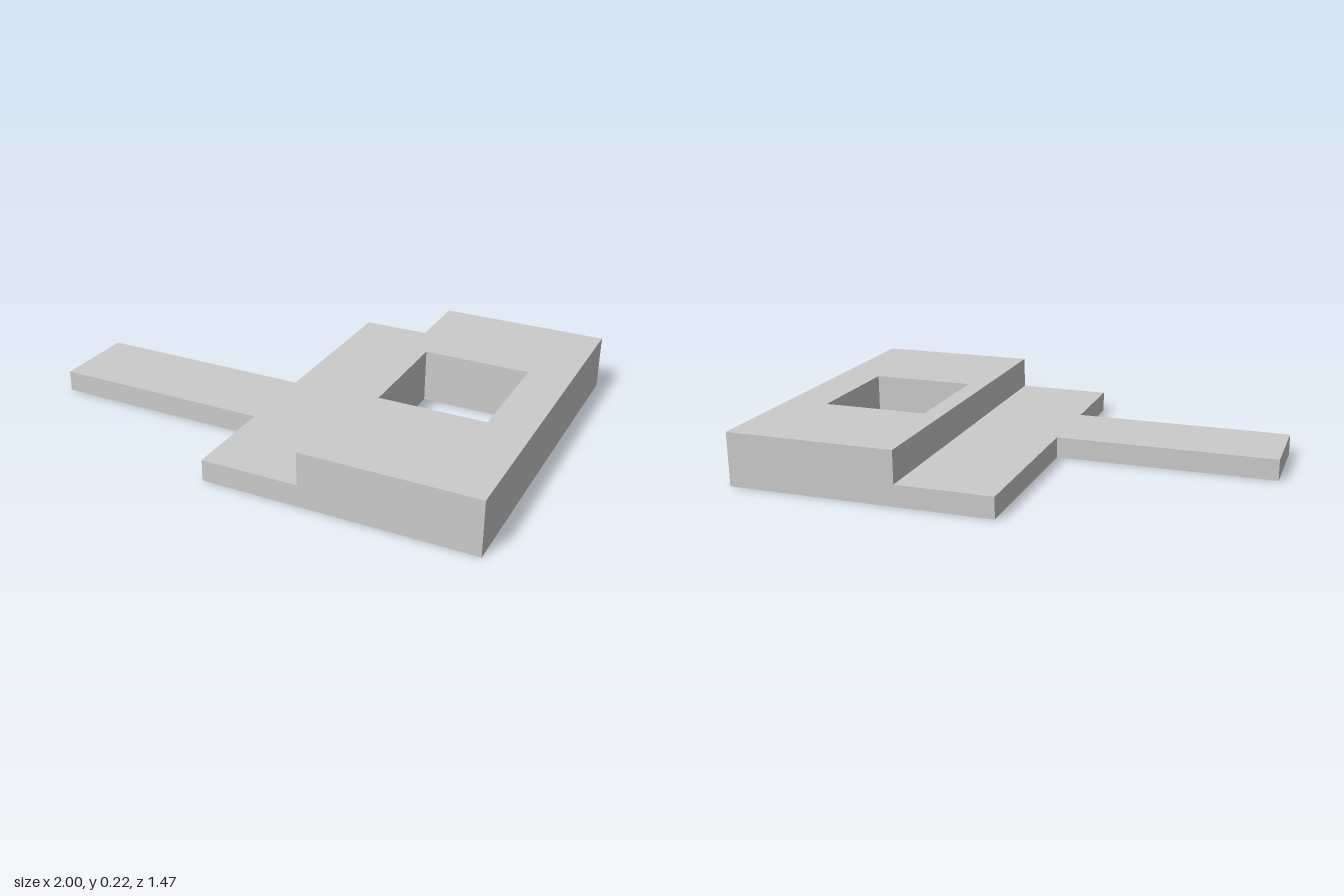
import * as THREE from 'three';

const LOW = 0.087, HIGH = 0.22, HALF = 0.735, STEP = 0.305;

// Closed outline from [x, z] points, drawn on the ground plane
const outline = (points, Type = THREE.Shape) =>
  new Type(points.map(([x, z]) => new THREE.Vector2(x, -z)));

const rect = (x0, x1, z0, z1) => [[x0, z1], [x1, z1], [x1, z0], [x0, z0]];

// Raise an outline straight up from y = 0
function slab(name, shape, height, material) {
  const geometry = new THREE.ExtrudeGeometry(shape, { depth: height, bevelEnabled: false });
  geometry.rotateX(-Math.PI / 2);
  const mesh = new THREE.Mesh(geometry, material);
  mesh.name = name;
  return mesh;
}

export function createModel() {
  const group = new THREE.Group();
  group.name = 'steppedPlate';
  const grey = new THREE.MeshStandardMaterial({ color: 0xcccccc, flatShading: true });

  // Thin ledge with the off-centre arm reaching out to -x
  const ledge = outline([
    [-0.09, HALF], [STEP, HALF], [STEP, -HALF], [-0.09, -HALF],
    [-0.09, 0], [-1, 0], [-1, 0.345], [-0.09, 0.345],
  ]);
  group.add(slab('ledgeAndArm', ledge, LOW, grey));

  // Thick block with a rectangular through hole
  const block = outline(rect(STEP, 1, -HALF, HALF));
  block.holes.push(outline(rect(0.385, 0.823, -0.267, 0.215), THREE.Path));
  group.add(slab('raisedBlock', block, HIGH, grey));

  return group;
}
